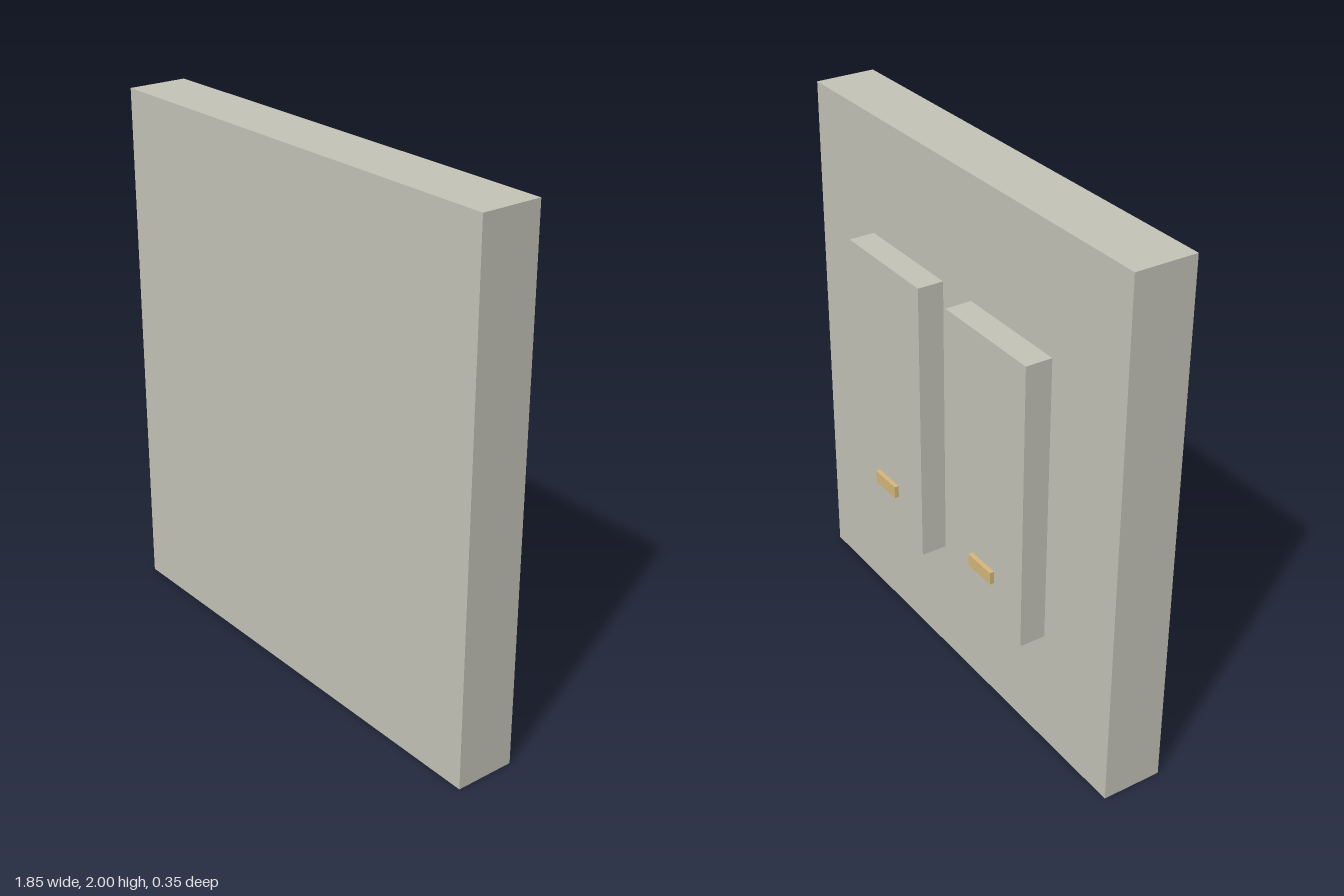
import * as THREE from 'three';

export function createModel() {
  const model = new THREE.Group();
  model.name = 'wallSwitch';

  const plastic = new THREE.MeshStandardMaterial({ color: 0xc4c4b8 });
  plastic.name = 'warm grey plastic';
  const amber = new THREE.MeshStandardMaterial({ color: 0xd6b87c });
  amber.name = 'amber indicator';

  // Box given by its extents along each axis
  function box(name, material, [x0, x1], [y0, y1], [z0, z1], parent = model) {
    const mesh = new THREE.Mesh(new THREE.BoxGeometry(x1 - x0, y1 - y0, z1 - z0), material);
    mesh.position.set((x0 + x1) / 2, (y0 + y1) / 2, (z0 + z1) / 2);
    mesh.name = name;
    parent.add(mesh);
  }

  // Square wall plate
  box('wallPlate', plastic, [-0.925, 0.925], [0, 2], [-0.057, 0.174]);

  // Two rocker switches, each with a small indicator light
  for (const [side, x] of [['left', 0.317], ['right', -0.317]]) {
    const rocker = new THREE.Group();
    rocker.name = side + 'Switch';
    rocker.position.x = x;
    box(side + 'Rocker', plastic, [-0.231, 0.231], [0.454, 1.55], [-0.157, -0.057], rocker);
    box(side + 'Indicator', amber, [-0.067, 0.067], [0.62, 0.668], [-0.174, -0.157], rocker);
    model.add(rocker);
  }

  return model;
}
